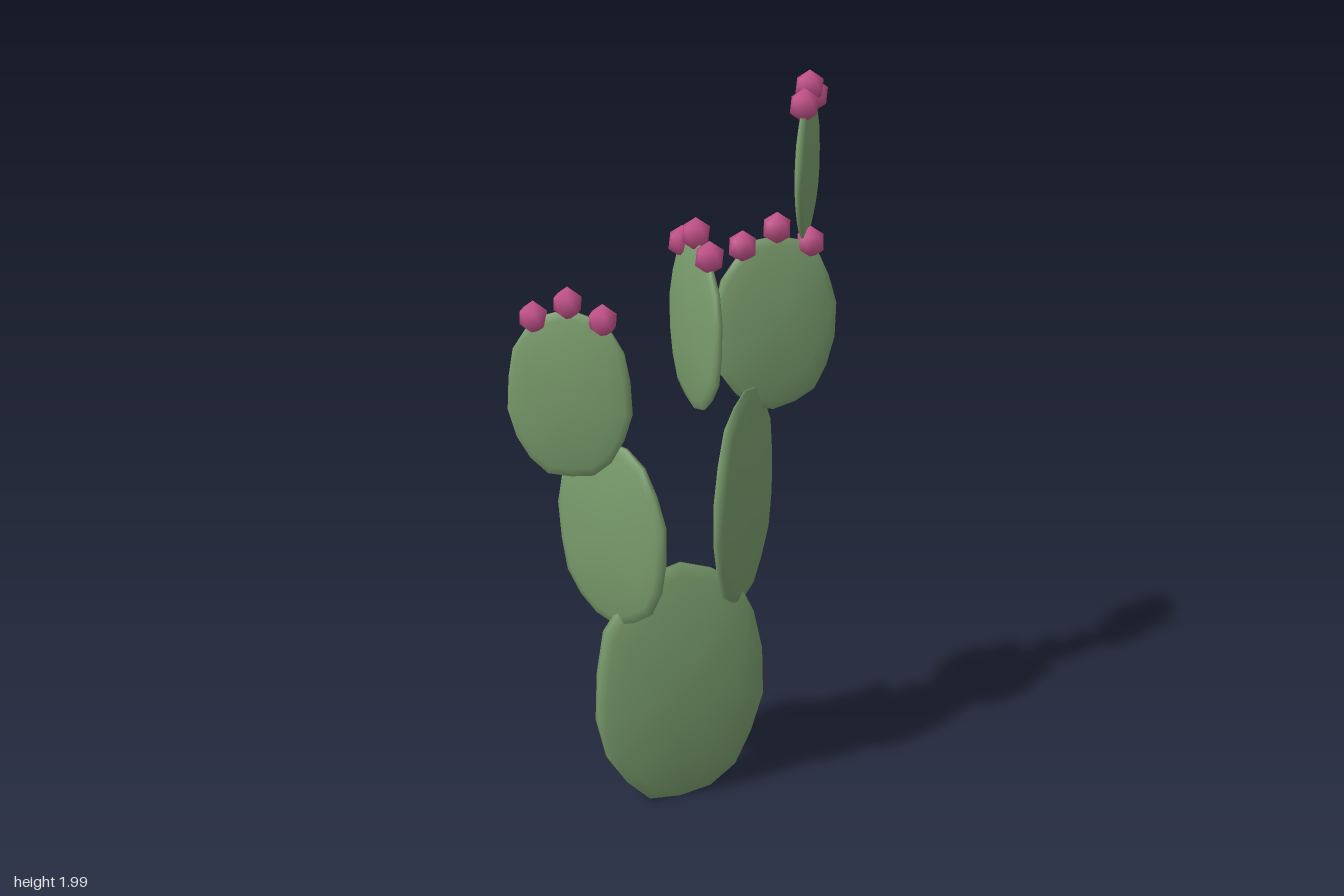
import * as THREE from 'three';
import { mergeVertices } from 'three/addons/utils/BufferGeometryUtils.js';

const padGreen = new THREE.MeshStandardMaterial({ color: 0x7a9d6d });
padGreen.name = 'pad green';
const fruitPink = new THREE.MeshStandardMaterial({ color: 0xc4528a });
fruitPink.name = 'fruit pink';

// Weld the seams so the shading is smooth
function weld(geometry) {
  geometry.deleteAttribute('normal');
  geometry.deleteAttribute('uv');
  const welded = mergeVertices(geometry, 1e-4);
  welded.computeVertexNormals();
  return welded;
}

// Flattened lens with a blunt rim and a slightly uneven oval outline
function padGeometry(w, h, t, seed) {
  const half = [[0, 1], [0.35, 0.93], [0.7, 0.72], [0.9, 0.47], [1, 0.25]];
  const profile = [
    ...half.map(([r, z]) => new THREE.Vector2(r, -z)),
    ...half.slice().reverse().map(([r, z]) => new THREE.Vector2(r, z)),
  ];
  const geometry = weld(new THREE.LatheGeometry(profile, 18).rotateX(Math.PI / 2));
  const p = geometry.attributes.position;
  const squarish = (v) => Math.sign(v) * Math.abs(v) ** 0.93;
  for (let i = 0; i < p.count; i++) {
    const r = Math.hypot(p.getX(i), p.getY(i));
    const a = Math.atan2(p.getY(i), p.getX(i));
    const wobble = 1 + 0.018 * r * Math.sin(a * 7 + seed * 2.3);
    const pinch = 1 - 0.6 * r ** 4 * Math.sin(a) ** 4;
    p.setXYZ(i,
      w * r * wobble * squarish(Math.cos(a)),
      h * r * wobble * squarish(Math.sin(a)),
      t * p.getZ(i) * pinch);
  }
  geometry.computeVertexNormals();
  return geometry;
}

// Small faceted fruit standing on one vertex
function fruitGeometry() {
  const tilt = -Math.atan(2 / (1 + Math.sqrt(5)));
  return weld(new THREE.IcosahedronGeometry(0.04, 0).rotateZ(tilt).scale(1, 1.08, 1));
}

// Centre, half width, half height, half thickness, flat direction (x, z)
const pads = [
  { name: 'basePad', at: [0.005, 0.37, 0.08], size: [0.243, 0.36, 0.042], dir: [0.47, -0.14] },
  { name: 'leftLowerPad', at: [0.18, 0.89, 0.012], size: [0.205, 0.3, 0.034], dir: [0.18, -0.37] },
  { name: 'rightLowerPad', at: [-0.177, 0.84, 0.113], size: [0.182, 0.26, 0.032], dir: [0.265, 0.25], roll: 0.05 },
  { name: 'rightUpperPad', at: [-0.28, 1.25, 0.18], size: [0.159, 0.222, 0.026], dir: [0.31, 0.073], fruit: true },
  { name: 'middleUpperPad', at: [0.045, 1.385, 0.05], size: [0.156, 0.222, 0.026], dir: [0.1, 0.29], fruit: true },
  { name: 'leftUpperPad', at: [0.265, 1.345, -0.08], size: [0.167, 0.238, 0.027], dir: [0.33, -0.06], fruit: true },
  { name: 'topPad', at: [0.345, 1.755, -0.118], size: [0.133, 0.188, 0.023], dir: [0.08, -0.255], fruit: true },
];

export function createModel() {
  const model = new THREE.Group();
  model.name = 'pricklyPear';
  const fruitShape = fruitGeometry();

  pads.forEach(({ name, at, size, dir, roll = 0, fruit }, i) => {
    const [w, h, t] = size;
    const group = new THREE.Group();
    group.name = name;
    group.position.set(...at);
    group.rotation.y = Math.atan2(-dir[1], dir[0]);

    const pad = new THREE.Mesh(padGeometry(w, h, t, i + 1), padGreen);
    pad.name = name + 'Body';
    pad.rotation.z = roll;
    group.add(pad);

    // Three fruits along the upper rim
    if (fruit) {
      for (const side of [-1, 0, 1]) {
        const berry = new THREE.Mesh(fruitShape, fruitPink);
        berry.name = 'fruit';
        berry.position.set(side * 0.55 * w, h * (side ? 0.9 : 1.08), 0);
        group.add(berry);
      }
    }
    model.add(group);
  });
  return model;
}
